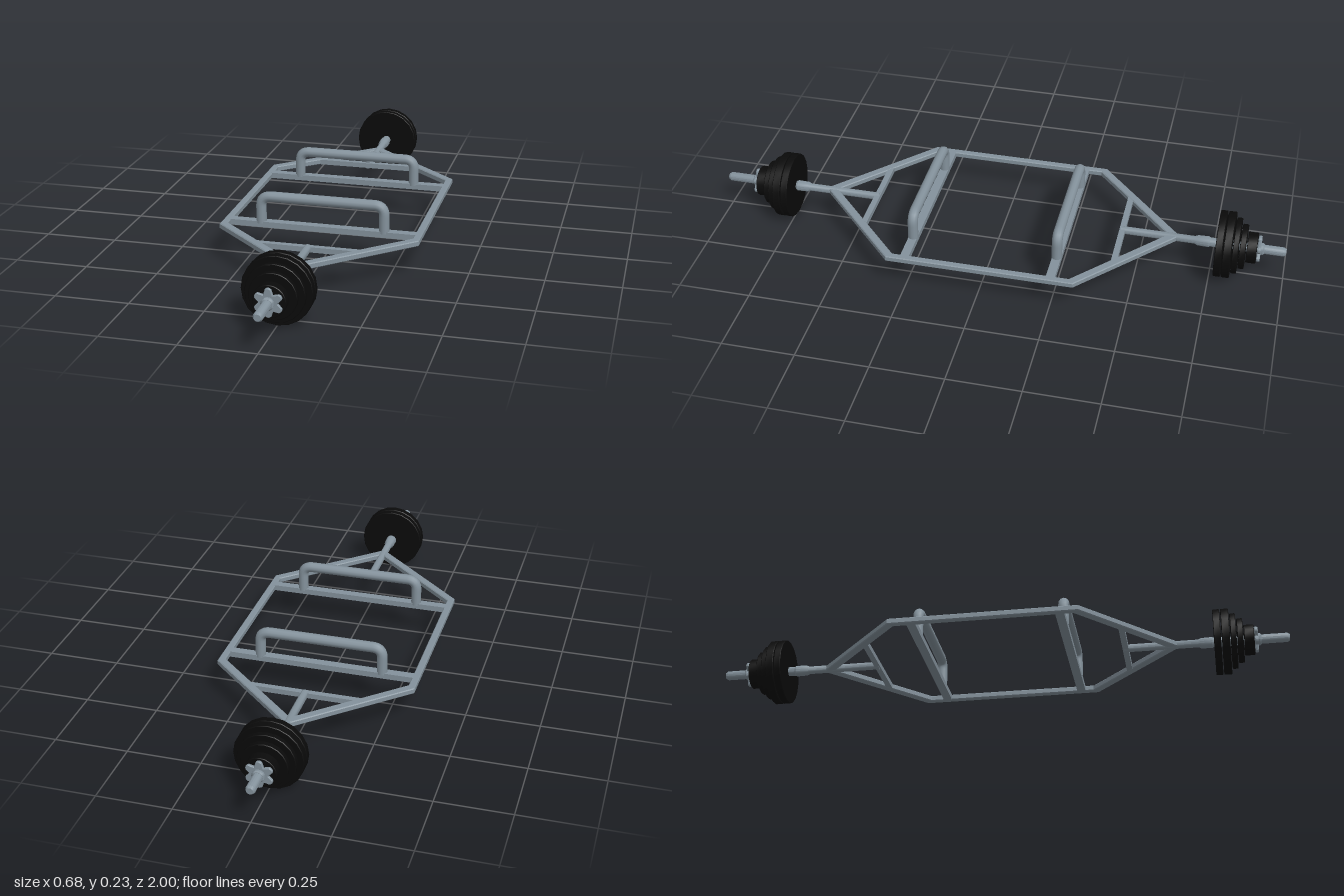
import * as THREE from 'three';
import { toCreasedNormals } from 'three/addons/utils/BufferGeometryUtils.js';

const Y = 0.115; // height of the bar axis
const steel = new THREE.MeshStandardMaterial({ color: 0x84929c });
const rubber = new THREE.MeshStandardMaterial({ color: 0x0a0a0a });

function part(name, geometry, material, parent) {
  const mesh = new THREE.Mesh(geometry, material);
  mesh.name = name;
  parent.add(mesh);
  return mesh;
}

// Solid of revolution around z from [radius, z] pairs
function turned(points, sides) {
  const g = new THREE.LatheGeometry(points.map(([r, z]) => new THREE.Vector2(r, z)), sides);
  return toCreasedNormals(g.rotateX(Math.PI / 2), 0.6);
}

// Flat six-sided outline in x and z; the back corners sit slightly further out
function hexagon(x, z, apex) {
  const back = z + 0.016, backApex = apex + 0.01;
  return [[0, apex], [x, z], [x, -back], [0, -backApex], [-x, -back], [-x, z]]
    .map(([a, b]) => new THREE.Vector2(a, b));
}

function frameGeometry() {
  const shape = new THREE.Shape(hexagon(0.338, 0.311, 0.624));
  // The hole runs the opposite way so its walls face inward
  shape.holes.push(new THREE.Path(hexagon(0.32, 0.296, 0.592).reverse()));
  const g = new THREE.ExtrudeGeometry(shape, {
    depth: 0.014, bevelEnabled: true, bevelSize: 0.003, bevelThickness: 0.003, bevelSegments: 1
  });
  return g.translate(0, 0, -0.007).rotateX(Math.PI / 2);
}

function handleGeometry() {
  const x = 0.212, top = 0.212, r = 0.034, base = 0.118;
  const v = (a, b) => new THREE.Vector3(a, b, 0);
  const path = new THREE.CurvePath();
  path.add(new THREE.LineCurve3(v(-x, base), v(-x, top - r)));
  path.add(new THREE.QuadraticBezierCurve3(v(-x, top - r), v(-x, top), v(-x + r, top)));
  path.add(new THREE.LineCurve3(v(-x + r, top), v(x - r, top)));
  path.add(new THREE.QuadraticBezierCurve3(v(x - r, top), v(x, top), v(x, top - r)));
  path.add(new THREE.LineCurve3(v(x, top - r), v(x, base)));
  return new THREE.TubeGeometry(path, 72, 0.018, 12, false);
}

// Six-lobed locking nut
function starGeometry() {
  const shape = new THREE.Shape();
  const at = (r, a) => [r * Math.sin(a), r * Math.cos(a)];
  for (let i = 0; i < 6; i++) {
    const a = i * Math.PI / 3;
    const start = at(0.043, a - 0.18);
    if (i) shape.lineTo(...start); else shape.moveTo(...start);
    shape.quadraticCurveTo(...at(0.049, a), ...at(0.043, a + 0.18));
    shape.lineTo(...at(0.027, a + Math.PI / 6));
  }
  shape.closePath();
  return new THREE.ExtrudeGeometry(shape, {
    depth: 0.006, bevelEnabled: true, bevelSize: 0.002, bevelThickness: 0.003, bevelSegments: 1, curveSegments: 4
  });
}

export function createModel() {
  const model = new THREE.Group();
  model.name = 'hexBar';

  part('hexFrame', frameGeometry(), steel, model).position.y = Y;

  const handle = handleGeometry();
  const stem = turned([
    [0, 0.435], [0.0135, 0.435], [0.0135, 0.69], [0.018, 0.7], [0.019, 0.738],
    [0.016, 0.742], [0.016, 0.992], [0.011, 1], [0, 1]
  ], 16);
  const star = starGeometry();
  const nutRing = turned([[0, -0.005], [0.021, -0.005], [0.021, 0.016], [0.017, 0.02], [0, 0.02]], 16);

  // Plate stack: [radius, near z, far z]
  const plates = [
    [0.114, 0.744, 0.768], [0.114, 0.771, 0.798], [0.096, 0.801, 0.82],
    [0.077, 0.823, 0.843], [0.053, 0.846, 0.88]
  ].map(([r, a, b]) => turned([
    [0.014, a], [r - 0.002, a], [r, a + 0.002], [r, b - 0.002], [r - 0.002, b], [0.014, b]
  ], 20));

  for (const side of [1, -1]) {
    const name = side > 0 ? 'front' : 'back';

    // Cross members
    part(name + 'HandleRail', new THREE.BoxGeometry(0.65, 0.02, 0.03), steel, model)
      .position.set(0, Y, side * 0.25);
    part(name + 'Brace', new THREE.BoxGeometry(0.37, 0.018, 0.02), steel, model)
      .position.set(0, Y, side * 0.44);
    part(name + 'Handle', handle, steel, model).position.z = side * 0.25;

    // Sleeve with its load
    const end = new THREE.Group();
    end.name = name + 'End';
    end.position.y = Y;
    if (side < 0) end.rotation.y = Math.PI;
    model.add(end);
    part('sleeve', stem, steel, end);

    // The back stack sits a little further along its sleeve
    const load = new THREE.Group();
    load.name = 'plateStack';
    load.position.z = side > 0 ? 0 : 0.022;
    end.add(load);
    plates.forEach((g, i) => part('plate' + (i + 1), g, rubber, load));
    part('starNut', star, steel, load).position.z = 0.884;
    part('nutRing', nutRing, steel, load).position.z = 0.884;
  }
  return model;
}
